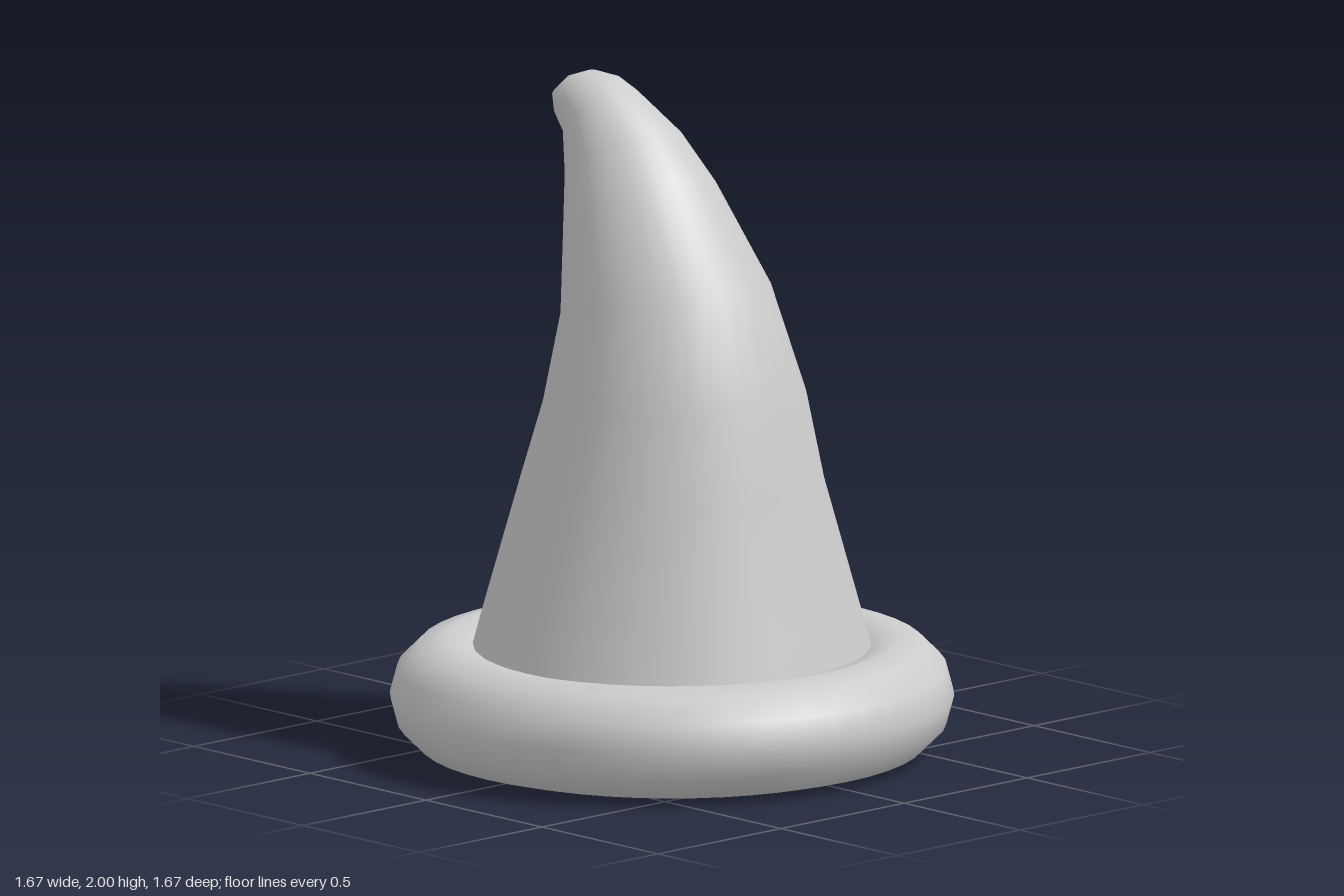
import * as THREE from 'three';

const material = new THREE.MeshStandardMaterial({ color: 0xcccccc, side: THREE.DoubleSide });

// Each ring of the crown is a circle spanning a left and a right point
// on the side outline: [leftX, leftY, rightX, rightY]
const RINGS = [
  [-0.6, 0.28, 0.6, 0.28],
  [-0.56, 0.43, 0.56, 0.43],
  [-0.447, 0.83, 0.45, 0.83],
  [-0.378, 1.05, 0.4, 1.1],
  [-0.335, 1.3, 0.28, 1.43],
  [-0.352, 1.5, 0.07, 1.73],
  [-0.373, 1.69, -0.05, 1.86],
  [-0.402, 1.8, -0.21, 1.965],
  [-0.45, 1.855, -0.28, 1.995],
  [-0.475, 1.9, -0.36, 2.0],
];
const TIP = [-0.445, 1.97, 0];

function bentCone(rings, tip, sides) {
  const positions = [], index = [];
  for (const [lx, ly, rx, ry] of rings) {
    const ux = (rx - lx) / 2, uy = (ry - ly) / 2, radius = Math.hypot(ux, uy);
    for (let i = 0; i < sides; i++) {
      const a = (i / sides) * Math.PI * 2, c = Math.cos(a);
      positions.push((lx + rx) / 2 + ux * c, (ly + ry) / 2 + uy * c, radius * Math.sin(a));
    }
  }
  positions.push(...tip);
  const tipIndex = rings.length * sides;
  for (let r = 0; r < rings.length; r++) {
    for (let i = 0; i < sides; i++) {
      const a = r * sides + i, b = r * sides + (i + 1) % sides;
      if (r === rings.length - 1) index.push(a, tipIndex, b);
      else index.push(a, a + sides, b, b, a + sides, b + sides);
    }
  }
  const geometry = new THREE.BufferGeometry();
  geometry.setAttribute('position', new THREE.Float32BufferAttribute(positions, 3));
  geometry.setIndex(index);
  geometry.computeVertexNormals();
  return geometry;
}

export function createModel() {
  const hat = new THREE.Group();
  hat.name = 'hat';

  // Tall hollow crown, curling over to one side at the tip
  const crown = new THREE.Mesh(bentCone(RINGS, TIP, 32), material);
  crown.name = 'crown';

  // Thick rolled brim
  const brim = new THREE.Mesh(new THREE.TorusGeometry(0.665, 0.17, 12, 48), material);
  brim.name = 'brim';
  brim.rotation.x = Math.PI / 2;
  brim.position.y = 0.17;

  hat.add(crown, brim);
  return hat;
}
